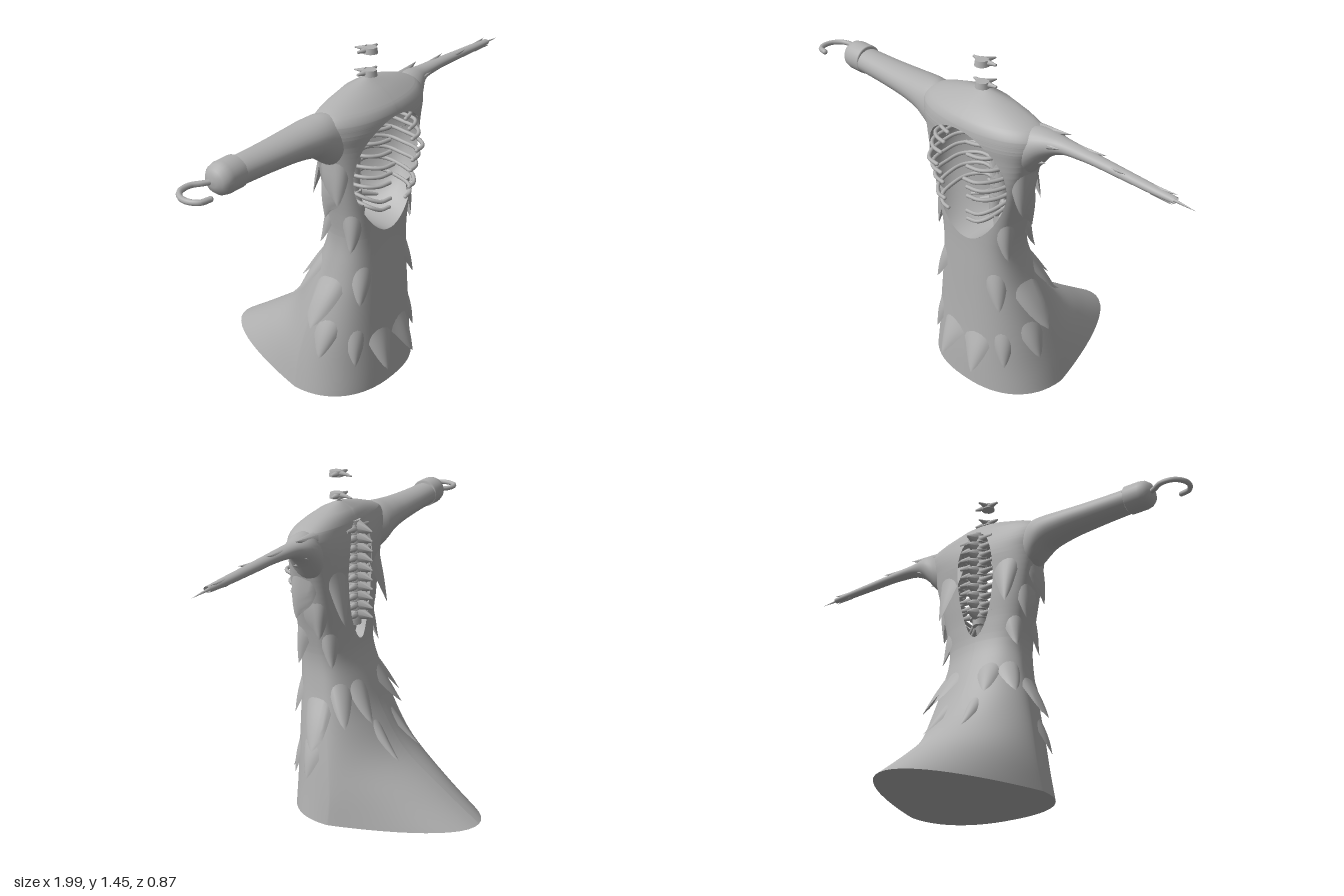
import * as THREE from 'three';
import { mergeVertices } from 'three/addons/utils/BufferGeometryUtils.js';

const grey = new THREE.MeshStandardMaterial({ color: 0xb0b0b0, side: THREE.DoubleSide });
grey.name = 'ash grey';

// Body sections: height, half width, front z, middle z, back z, back exponent, front exponent
const SECTIONS = [
  [0, .32, .39, .12, -.44, 1.9, .85], [.12, .3, .385, .12, -.27, 1.7, .85], [.26, .272, .375, .14, -.09, 1.4, .8],
  [.42, .235, .367, .17, .02, 1.1, .75], [.56, .203, .362, .2, .08, .9, .7], [.68, .187, .358, .23, .12, .75, .65],
  [.8, .2, .358, .24, .13, .6, .6], [.92, .225, .358, .24, .128, .55, .58], [1.04, .252, .36, .24, .125, .55, .62],
  [1.12, .275, .366, .235, .122, .65, .74], [1.18, .3, .372, .228, .128, .7, .86], [1.23, .298, .362, .222, .14, .75, .95],
  [1.265, .24, .33, .222, .15, .8, 1], [1.298, .125, .285, .225, .17, .9, 1], [1.32, .01, .235, .225, .215, 1, 1],
];
const curve = new THREE.CubicInterpolant(SECTIONS.map(s => s[0]), SECTIONS.flatMap(s => s.slice(1)), 6, new Float32Array(6));

// Point on the robe: angle 0 is front, PI/2 is +x, PI is back
function surface(y, a, off = 0) {
  const [w, zf, zm, zb, e, p] = curve.evaluate(y);
  const c = Math.cos(a), s = Math.sin(a), front = c > 0;
  const x = w * Math.sign(s) * Math.pow(Math.abs(s), front ? p : 1);
  const z = front ? zm + (zf - zm) * Math.pow(c, p) : zm + (zb - zm) * Math.pow(-c, e);
  return [x + off * s, y, z + off * c];
}

function grid(rows, cols, f) {
  const pos = [], idx = [];
  for (let i = 0; i <= rows; i++) for (let j = 0; j <= cols; j++) pos.push(...f(i, j));
  for (let i = 0; i < rows; i++) for (let j = 0; j < cols; j++) {
    const a = i * (cols + 1) + j, b = a + cols + 1;
    idx.push(a, a + 1, b, a + 1, b + 1, b);
  }
  let g = new THREE.BufferGeometry();
  g.setAttribute('position', new THREE.Float32BufferAttribute(pos, 3));
  g.setIndex(idx);
  g = mergeVertices(g, 1e-5);
  g.computeVertexNormals();
  return g;
}

function add(parent, name, geometry) {
  const m = new THREE.Mesh(geometry, grey);
  m.name = name;
  parent.add(m);
  return m;
}

// Tapered spike between two points
function spike(parent, name, from, to, r, rTip = 0) {
  const a = new THREE.Vector3(...from), b = new THREE.Vector3(...to), d = b.clone().sub(a);
  const m = add(parent, name, new THREE.CylinderGeometry(rTip, r, d.length(), 8));
  m.position.copy(a).addScaledVector(d, .5);
  m.quaternion.setFromUnitVectors(new THREE.Vector3(0, 1, 0), d.normalize());
  return m;
}

const tube = (pts, r, n = 40) =>
  new THREE.TubeGeometry(new THREE.CatmullRomCurve3(pts.map(p => new THREE.Vector3(...p))), n, r, 8);

// Egg-shaped openings in the chest and back
const HOLES = { front: { mid: .955, h: .245, w: .207 }, back: { mid: .995, h: .255, w: .092 } };
const N = 28;
const holeY = (k, i) => k.mid - k.h * Math.cos(Math.PI * i / N);
function holeWidth(k, y) {
  const u = (y - k.mid) / k.h;
  return Math.abs(u) >= 1 ? 0 : k.w * Math.sqrt(1 - u * u) * (1 + .22 * u);
}
function holeAngle(k, y) {
  const s = curve.evaluate(y), p = k === HOLES.front ? s[5] : 1;
  return Math.asin(Math.pow(Math.min(.95, holeWidth(k, y) / s[0]), 1 / p));
}

function addRobe(g) {
  const ys = [];
  for (let i = 0; i <= 50; i++) ys.push(1.32 * i / 50);
  for (const k of Object.values(HOLES)) for (let i = 0; i <= N; i++) ys.push(holeY(k, i));
  ys.sort((a, b) => a - b);
  // Each side wall runs from the chest opening round to the back opening
  const C = 32;
  for (const side of [-1, 1]) add(g, 'robeHalf', grid(ys.length - 1, C, (i, j) => {
    const y = ys[i], a0 = holeAngle(HOLES.front, y), a1 = Math.PI - holeAngle(HOLES.back, y);
    return surface(y, side * (a0 + (a1 - a0) * j / C));
  }));
  // Hollow through the chest
  add(g, 'chestHollow', grid(2 * N, 10, (i, j) => {
    const s = i <= N ? 1 : -1, k = i <= N ? i : 2 * N - i, t = j / 10;
    const [F, B] = [HOLES.front, HOLES.back].map((h, n) => {
      const y = holeY(h, k), a = holeAngle(h, y);
      return surface(y, n ? Math.PI - a : a);
    });
    const q = F.map((v, n) => v + (B[n] - v) * t);
    q[0] = s * (q[0] + .05 * Math.sin(Math.PI * t) * Math.sin(Math.PI * k / N));
    return q;
  }));
  // Slightly vaulted underside
  add(g, 'robeBase', grid(8, 64, (i, j) => {
    const r = i / 8, [x, , z] = surface(0, -j / 32 * Math.PI);
    return [x * r, .035 * (1 - r * r), .08 + (z - .08) * r];
  }));
}

// Torn pointed fold: buried at its wide top, lifting off the robe at the tip
function addFlap(g, deg, tipY, len, half, lift) {
  const a0 = deg * Math.PI / 180;
  add(g, 'tornFold', grid(10, 8, (i, j) => {
    const s = i / 10, u = j / 4 - 1;
    const off = -.01 + (lift + .01) * Math.pow(s, 1.4) + .012 * Math.sin(Math.PI * s) * (1 - u * u) - .012 * u * u * (1 - s);
    return surface(tipY + len * (1 - s), a0 + u * half * Math.pow(1 - s, .85), off);
  }));
}

// Arm from sections: x, centre y, centre z, half height, half depth
function loftArm(g, name, secs) {
  const f = new THREE.CubicInterpolant(secs.map(s => Math.abs(s[0])), secs.flat(), 5, new Float32Array(5));
  const x0 = Math.abs(secs[0][0]), x1 = Math.abs(secs[secs.length - 1][0]);
  add(g, name, grid(40, 28, (i, j) => {
    const [x, y, z, h, d] = f.evaluate(x0 + (x1 - x0) * i / 40), a = (j % 28) / 14 * Math.PI;
    return [x, y + h * Math.sin(a), z + d * Math.cos(a)];
  }));
}

// Vertebra with side wings and a back fin
function vertebra(g, name, y, z, [sx, sy, sz], fin) {
  const v = new THREE.Group();
  v.name = name;
  add(v, 'vertebraBody', new THREE.CylinderGeometry(.026, .03, .026, 14));
  for (const x of [-1, 1]) spike(v, 'sideProcess', [x * .015, 0, -.01], [x * .06, .002, -.014], .014, .005);
  spike(v, 'backProcess', [0, .004, -.018], [0, -.006, -.072], fin, .003).scale.x = .016 / fin;
  v.position.set(0, y, z);
  v.scale.set(sx, sy, sz);
  g.add(v);
}

export function createModel() {
  const g = new THREE.Group();
  g.name = 'hollowRobedFigure';
  addRobe(g);

  // Folds: angle, tip height, length, half angle, lift
  const flaps = [
    [82, .88, .22, .55, .04], [140, .85, .26, .42, .06], [100, .79, .2, .55, .025], [66, .66, .2, .6, .03],
    [116, .66, .18, .55, .03], [84, .32, .24, .5, .055], [122, .42, .2, .5, .045], [40, .42, .2, .5, .025],
    [72, .18, .2, .4, .025], [12, .1, .2, .32, .05], [152, .42, .2, .42, .04], [162, .25, .2, .2, .025],
    [38, .14, .2, .34, .015],
  ];
  for (const [a, ...rest] of flaps) for (const s of [-1, 1]) addFlap(g, s * a, ...rest);

  // Sleeved arm with cuff and hook
  loftArm(g, 'sleevedArm', [[-.2, 1.14, .24, .09, .065], [-.24, 1.145, .235, .106, .078], [-.275, 1.157, .225, .1, .084],
    [-.33, 1.174, .218, .078, .084], [-.42, 1.181, .213, .063, .077], [-.56, 1.184, .211, .054, .067], [-.74, 1.187, .21, .05, .058]]);
  const cuff = add(g, 'cuff', new THREE.LatheGeometry(
    [[0, -.005], [.056, -.005], [.061, 0], [.061, .065], [.056, .088], [.042, .105], [.02, .113], [0, .114]].map(p => new THREE.Vector2(...p)), 28));
  cuff.rotation.z = Math.PI / 2;
  cuff.position.set(-.73, 1.19, .21);
  add(g, 'hook', tube([[-.82, 1.185, .205], [-.86, 1.185, .183], [-.9, 1.185, .16], [-.95, 1.185, .165], [-.983, 1.185, .2],
    [-.988, 1.185, .24], [-.968, 1.185, .275], [-.93, 1.185, .284]], .011));
  add(g, 'hookEnd', new THREE.SphereGeometry(.011, 10, 8)).position.set(-.93, 1.185, .284);

  // Withered arm with torn sleeve
  loftArm(g, 'witheredArm', [[.2, 1.14, .24, .09, .065], [.24, 1.148, .232, .104, .076], [.275, 1.17, .222, .086, .078],
    [.32, 1.197, .213, .057, .064], [.38, 1.212, .207, .033, .04], [.48, 1.218, .207, .023, .03], [.66, 1.215, .208, .019, .023],
    [.8, 1.212, .21, .016, .02], [.9, 1.211, .212, .012, .015]]);
  const shreds = [[.22, 1.22, .2, .4, 1.255, .18], [.22, 1.19, .25, .41, 1.225, .25], [.2, 1.13, .2, .36, 1.18, .165],
    [.2, 1.1, .24, .33, 1.13, .24], [.45, 1.225, .2, .58, 1.243, .19], [.58, 1.215, .21, .7, 1.235, .23],
    [.76, 1.212, .21, .9, 1.228, .2], [.8, 1.208, .21, .9, 1.198, .225]];
  for (const s of shreds) spike(g, 'sleeveShred', s.slice(0, 3), s.slice(3), s[0] < .3 ? .035 : .016);
  spike(g, 'armSpike', [.86, 1.211, .212], [.99, 1.206, .212], .008);

  // Spine and loose neck bones
  for (let i = 0; i < 10; i++) vertebra(g, 'spineVertebra', 1.215 - i * .041, .158, [1.45, 1.25, 1.2], .026);
  spike(g, 'spineCore', [0, 1.25, .162], [0, .8, .162], .032, .032);
  spike(g, 'tailbone', [0, .82, .175], [0, .725, .19], .03, .022);
  for (const y of [1.34, 1.43]) vertebra(g, 'neckVertebra', y, .238, [1, .9, 1], .013);

  // Ribs sweep out from the spine and forward through the chest opening
  const reach = [.375, .385, .395, .415, .4, .395, .395, .385];
  reach.forEach((zf, i) => {
    const y = 1.172 - i * .044, w = [.13, .165, .185, .19, .185, .175, .16, .14][i], drop = i > 5 ? .03 : .004;
    for (const s of [-1, 1]) {
      const tip = [s * w * .4, y - drop, zf];
      add(g, 'rib', tube([[s * .02, y + .02, .16], [s * w * .6, y + .018, .16], [s * w * .95, y + .01, .21], [s * w, y, .28],
        [s * w * .92, y - drop * .5, .35], [s * w * .7, y - drop, zf - .01], tip], .008, 30));
      add(g, 'ribTip', new THREE.SphereGeometry(.008, 8, 6)).position.set(...tip);
    }
  });
  // Small floating ribs at the base of the spine
  for (const s of [-1, 1]) for (const y of [.83, .8])
    spike(g, 'floatingRib', [s * .02, y, .17], [s * .1, y - .025, .22], .013, .006);
  return g;
}
